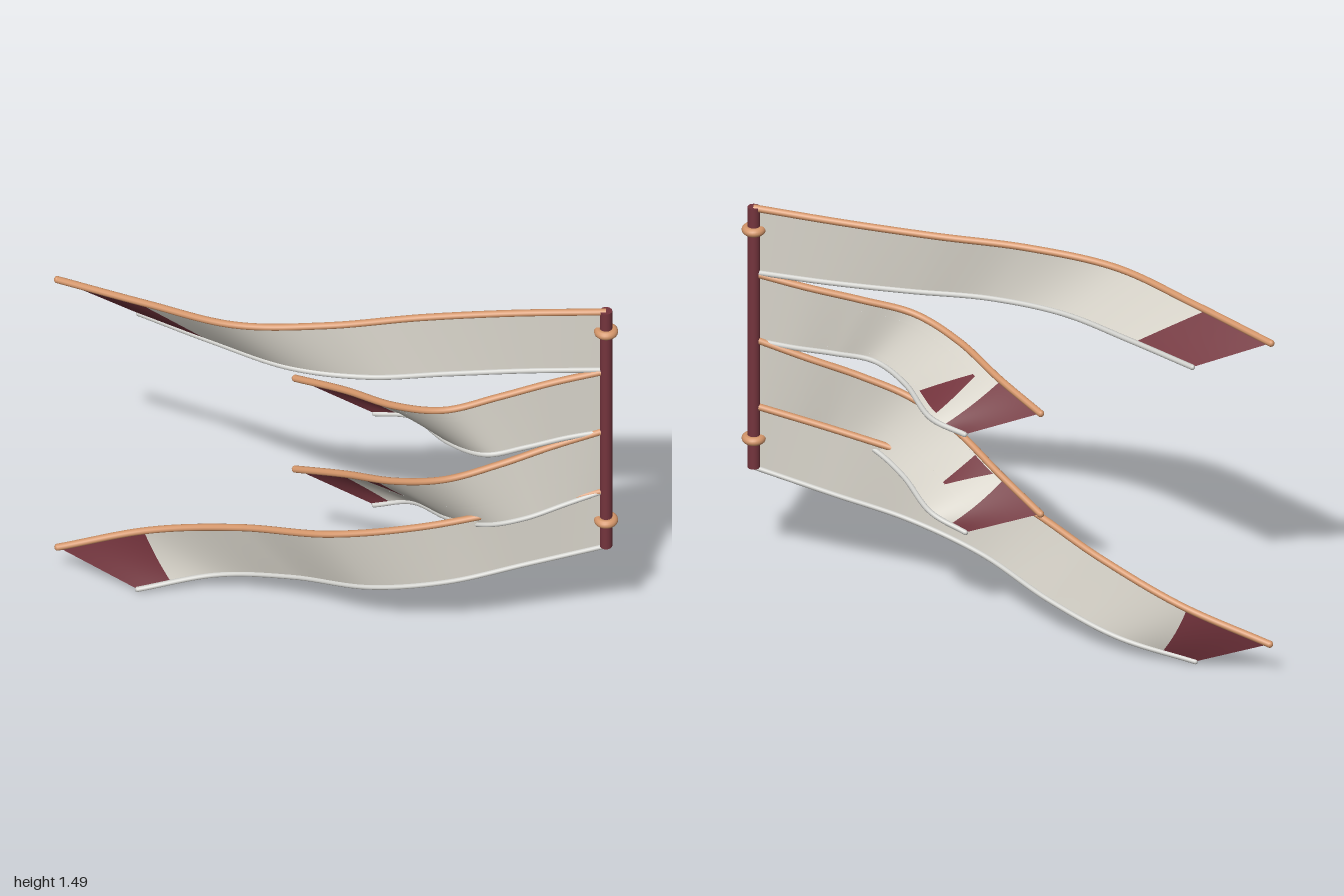
import * as THREE from 'three';

const mat = (name, color, side = THREE.FrontSide) => {
  const m = new THREE.MeshStandardMaterial({ color, side });
  m.name = name;
  return m;
};
const lerp = THREE.MathUtils.lerp;
const POLE_X = 0.955, POLE_Z = 0.045;

// Edge curve from the pole to the tip: even steps in x, bulging y, listed z
function edgeCurve(yPole, xTip, yTip, bulge, zs) {
  const pts = zs.map((z, i) => {
    const t = i / (zs.length - 1);
    return new THREE.Vector3(lerp(POLE_X, xTip, t), lerp(yPole, yTip, t) + bulge * Math.sin(Math.PI * t), z);
  });
  return new THREE.CatmullRomCurve3(pts, false, 'catmullrom', 0.5);
}

// Piece of the ruled cloth between two edges; a and b are its limits along the length at v0 and v1
function clothPatch(top, bottom, [a0, a1], [b0, b1], v0, v1) {
  const nu = Math.max(6, Math.ceil(Math.max(b0 - a0, b1 - a1) * 60)), nv = 8;
  const pos = [], idx = [];
  for (let j = 0; j <= nv; j++) {
    const k = j / nv, v = lerp(v0, v1, k);
    for (let i = 0; i <= nu; i++) {
      const t = lerp(lerp(a0, a1, k), lerp(b0, b1, k), i / nu);
      const p = top.getPoint(t).lerp(bottom.getPoint(t), v);
      pos.push(p.x, p.y, p.z);
      if (i < nu && j < nv) {
        const q = j * (nu + 1) + i, r = q + nu + 1;
        idx.push(q, q + 1, r, q + 1, r + 1, r);
      }
    }
  }
  const g = new THREE.BufferGeometry();
  g.setAttribute('position', new THREE.Float32BufferAttribute(pos, 3));
  g.setIndex(idx);
  g.computeVertexNormals();
  return g;
}

// tail: where the dark tip starts at the top and bottom edge
// wedge: dark triangle as [v0, v1, near limits, far limits]
const BANNERS = [
  { name: 'topBanner', top: [1.475, -0.995, 1.335, 0.012, [0.045, 0.062, 0.095, 0.145, 0.14, 0.01, -0.135]],
    bottom: [1.22, -0.71, 1.2, -0.012, [0.045, 0.065, 0.1, 0.14, 0.11, -0.01, -0.145]], tail: [0.86, 0.85] },
  { name: 'upperMiddleBanner', top: [1.215, -0.16, 0.94, 0.006, [0.045, 0.075, 0.12, 0.155, 0.085, -0.05, -0.165]],
    bottom: [0.95, 0.12, 0.81, 0.004, [0.045, 0.07, 0.11, 0.135, 0.045, -0.12, -0.16]], tail: [0.84, 0.9],
    wedge: [0.2, 0.9, [0.775, 0.72], [0.785, 0.83]] },
  { name: 'lowerMiddleBanner', top: [0.955, -0.16, 0.54, 0.012, [0.045, 0.075, 0.115, 0.13, 0.065, -0.055, -0.165]],
    bottom: [0.69, 0.12, 0.415, 0, [0.045, 0.08, 0.115, 0.105, 0.02, -0.12, -0.15]], tail: [0.855, 0.93],
    wedge: [0.06, 0.62, [0.75, 0.765], [0.825, 0.775]] },
  { name: 'bottomBanner', top: [0.69, -0.995, 0.145, 0.02, [0.045, 0.085, 0.108, 0.065, -0.065, -0.148, -0.15]],
    bottom: [0.445, -0.71, 0.011, -0.012, [0.045, 0.075, 0.105, 0.065, -0.06, -0.135, -0.11]], tail: [0.845, 0.93] },
];

export function createModel() {
  const cloth = mat('pale cloth', 0xd8d4ca, THREE.DoubleSide);
  const dark = mat('maroon cloth', 0x74343d, THREE.DoubleSide);
  const wood = mat('maroon pole', 0x74343d);
  const copper = mat('copper trim', 0xd4966a);
  const silver = mat('silver trim', 0xd0d0cc);

  const model = new THREE.Group();
  model.name = 'streamerBanners';
  const add = (parent, name, geometry, material, x = 0, y = 0, z = 0) => {
    const m = new THREE.Mesh(geometry, material);
    m.name = name;
    m.position.set(x, y, z);
    parent.add(m);
    return m;
  };

  // Pole with two rings
  add(model, 'pole', new THREE.CylinderGeometry(0.022, 0.022, 1.035, 24), wood, POLE_X, 0.9625, POLE_Z);
  for (const y of [0.56, 1.39]) {
    add(model, 'poleRing', new THREE.TorusGeometry(0.027, 0.016, 12, 32), copper, POLE_X, y, POLE_Z).rotation.x = Math.PI / 2;
  }

  for (const { name, top: t, bottom: b, tail, wedge } of BANNERS) {
    const group = new THREE.Group();
    group.name = name;
    model.add(group);
    const top = edgeCurve(...t), bottom = edgeCurve(...b);
    const patch = (part, material, ...limits) => add(group, part, clothPatch(top, bottom, ...limits), material);
    const tailAt = (v) => lerp(tail[0], tail[1], v);

    // Cloth and dark tip
    patch('tip', dark, tail, [1, 1], 0, 1);
    if (wedge) {
      const [v0, v1, near, far] = wedge;
      const tailMid = [tailAt(v0), tailAt(v1)];
      patch('clothAboveWedge', cloth, [0, 0], [tail[0], tailMid[0]], 0, v0);
      patch('clothBeforeWedge', cloth, [0, 0], near, v0, v1);
      patch('wedge', dark, near, far, v0, v1);
      patch('clothAfterWedge', cloth, far, tailMid, v0, v1);
      patch('clothBelowWedge', cloth, [0, 0], [tailMid[1], tail[1]], v1, 1);
    } else {
      patch('cloth', cloth, [0, 0], tail, 0, 1);
    }

    // Rounded trims along both edges
    for (const [part, curve, r, m] of [['topTrim', top, 0.013, copper], ['bottomTrim', bottom, 0.01, silver]]) {
      add(group, part, new THREE.TubeGeometry(curve, 64, r, 10), m);
      add(group, part + 'End', new THREE.SphereGeometry(r, 10, 8), m, ...curve.getPoint(1).toArray());
    }
  }
  return model;
}
